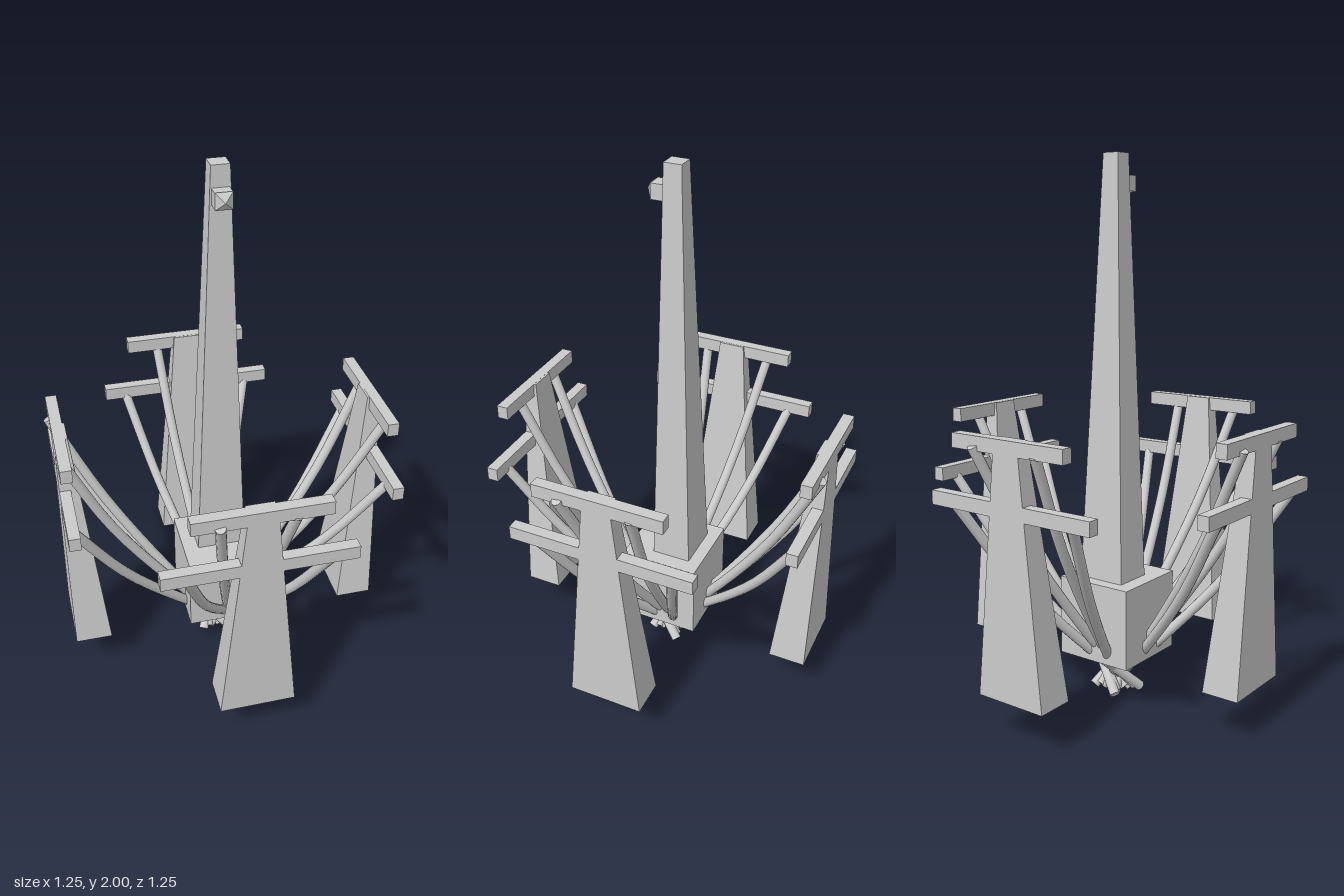
import * as THREE from 'three';

const mat = new THREE.MeshStandardMaterial({ color: 0xcccccc });

function add(parent, geometry, name) {
  const mesh = new THREE.Mesh(geometry, mat);
  mesh.name = name;
  parent.add(mesh);
  return mesh;
}

// Box whose bottom and top rectangles [x0, x1, z0, z1] differ
function taper(bottom, y0, top, y1) {
  const g = new THREE.BoxGeometry(1, 1, 1);
  const p = g.attributes.position;
  for (let i = 0; i < p.count; i++) {
    const up = p.getY(i) > 0;
    const r = up ? top : bottom;
    p.setXYZ(i, p.getX(i) < 0 ? r[0] : r[1], up ? y1 : y0, p.getZ(i) < 0 ? r[2] : r[3]);
  }
  g.computeVertexNormals();
  return g;
}

// Closed-ended strut: straight in plan from x0 (at z = 0.565) to x1 (at z = 0.15),
// sagging along the [z, y] profile
function addStrut(parent, x0, x1, profile, name) {
  const radius = 0.019;
  const slope = (x0 - x1) / 0.415;
  const curve = new THREE.CatmullRomCurve3(
    profile.map(([z, y]) => new THREE.Vector3(x1 + (z - 0.15) * slope, y, z)));
  const strut = new THREE.Group();
  strut.name = name;
  add(strut, new THREE.TubeGeometry(curve, 12, radius, 12), name + 'Tube');
  for (const t of [0, 1]) {
    const cap = add(strut, new THREE.CircleGeometry(radius, 12), name + 'Cap');
    const pos = curve.getPoint(t);
    const dir = curve.getTangent(t).multiplyScalar(t ? 1 : -1);
    cap.position.copy(pos);
    cap.lookAt(pos.clone().add(dir));
  }
  parent.add(strut);
}

// One outer pylon with two crossbars and the four struts to the core
function createPylon() {
  const arm = new THREE.Group();
  add(arm, taper([-0.14, 0.14, 0.467, 0.606], 0.165, [-0.05, 0.05, 0.556, 0.606], 1.07), 'pylon');
  for (const [half, y, name] of [[0.24, 1.045, 'upperCrossbar'], [0.343, 0.833, 'lowerCrossbar']]) {
    const bar = add(arm, new THREE.BoxGeometry(half * 2, 0.051, 0.042), name);
    bar.position.set(0, y, 0.585);
  }
  const low = [[0.585, 0.82], [0.39, 0.505], [0.15, 0.215], [-0.045, 0.016]];
  const high = [[0.595, 1.03], [0.42, 0.66], [0.15, 0.25], [-0.035, 0.02]];
  const highLong = [[0.608, 1.035], ...high.slice(1)];
  addStrut(arm, -0.242, -0.026, low, 'lowerLeftStrut');
  addStrut(arm, -0.13, -0.003, highLong, 'upperLeftStrut');
  addStrut(arm, 0.112, 0.036, high, 'upperRightStrut');
  addStrut(arm, 0.25, 0.063, low, 'lowerRightStrut');
  return arm;
}

export function createModel() {
  const model = new THREE.Group();
  model.name = 'spireTower';

  // Central block and spire, set slightly back
  const block = add(model, new THREE.BoxGeometry(0.302, 0.3, 0.302), 'coreBlock');
  block.position.y = 0.315;
  add(model, taper([-0.093, 0.093, -0.103, 0.046], 0.465, [-0.032, 0.032, -0.04, 0.024], 2), 'spire');

  // Lamp near the tip of the spire
  const lamp = add(model, new THREE.BoxGeometry(0.06, 0.055, 0.055), 'lampBox');
  lamp.position.set(0, 1.898, 0.0435);
  const tip = new THREE.ConeGeometry(0.03 * Math.SQRT2, 0.023, 4, 1).toNonIndexed();
  tip.rotateY(Math.PI / 4);
  tip.rotateX(Math.PI / 2);
  tip.computeVertexNormals();
  add(model, tip, 'lampTip').position.set(0, 1.898, 0.0825);

  // Four identical arms turned about the centre
  ['front', 'left', 'back', 'right'].forEach((side, i) => {
    const arm = createPylon();
    arm.name = side + 'Arm';
    arm.rotation.y = i * Math.PI / 2;
    model.add(arm);
  });
  return model;
}
